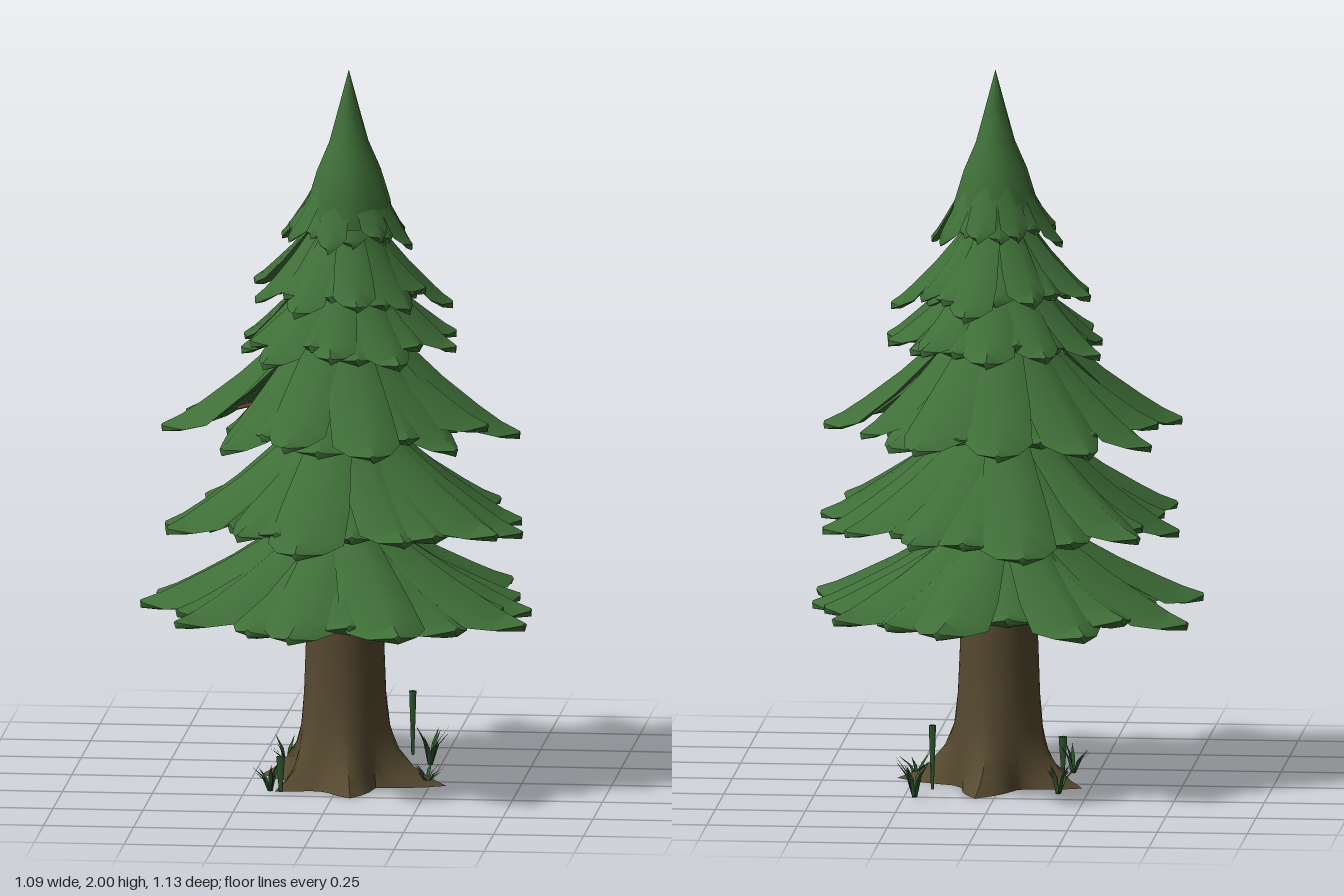
import * as THREE from 'three';
import { mergeGeometries, mergeVertices, toCreasedNormals } from 'three/addons/utils/BufferGeometryUtils.js';

const mat = (name, color, side = THREE.FrontSide) => {
  const m = new THREE.MeshStandardMaterial({ color, side });
  m.name = name;
  return m;
};

// small seeded generator, -1..1
let seed = 11;
const jitter = () => {
  seed = (seed * 16807) % 2147483647;
  return (seed / 2147483647) * 2 - 1;
};
const rad = THREE.MathUtils.degToRad;

function buildGeometry(positions, index) {
  const g = new THREE.BufferGeometry();
  g.setAttribute('position', new THREE.Float32BufferAttribute(positions, 3));
  g.setIndex(index);
  return g;
}

// Drooping pointed frond: a ridged four-sided section swept outwards
const STATIONS = [[0, 0.45], [0.25, 0.68], [0.5, 0.9], [0.74, 1], [0.88, 0.62], [1, 0.1]];
function frond(angle, r0, r1, yTop, yTip, half) {
  const pos = [], index = [];
  const c = Math.cos(angle), s = Math.sin(angle);
  const skew = jitter() * 0.12 * half;
  STATIONS.forEach(([t, k], i) => {
    const r = r0 + (r1 - r0) * t;
    const y = yTip + (yTop - yTip) * Math.pow(1 - t, 1.35);
    const w = half * k;
    const section = [[-w, -0.45 * w], [skew * k, 0.012 * k], [w, -0.45 * w], [0, -0.38 * w - 0.018]];
    section.forEach(([u, v]) => pos.push(c * r - s * u, y + v, s * r + c * u));
    if (i === 0) return;
    for (let j = 0; j < 4; j++) {
      const a = (i - 1) * 4 + j, b = (i - 1) * 4 + ((j + 1) % 4);
      index.push(a, b, a + 4, b, b + 4, a + 4);
    }
  });
  const e = (STATIONS.length - 1) * 4;
  index.push(e, e + 1, e + 2, e, e + 2, e + 3);
  return toCreasedNormals(buildGeometry(pos, index), rad(55));
}

// One ring of long fronds with shorter ones tucked underneath between them
function tier(tips, r0, yTop, yTip) {
  const parts = [];
  tips.forEach(([deg, r], i) => {
    const next = i + 1 < tips.length ? tips[i + 1][0] : tips[0][0] + 360;
    const mid = (deg + next) / 2;
    const half = 0.165 * r + 0.014;
    parts.push(frond(rad(deg), r0, r, yTop + jitter() * 0.015, yTip + jitter() * 0.022, half));
    parts.push(frond(rad(mid + jitter() * 4), r0 * 0.8, r * (0.83 + 0.06 * jitter()),
      yTop - 0.025, yTip + 0.015 + jitter() * 0.02, half * 1.12));
  });
  return mergeGeometries(parts);
}

const ringTips = (count, radius, start) => Array.from({ length: count }, (_, i) =>
  [start + (i * 360) / count + jitter() * 5, radius * (0.96 + 0.1 * jitter())]);

// Trunk turned from a profile, then pulled out into five roots near the ground
function trunkGeometry() {
  const profile = [[0, 0], [0.135, 0], [0.133, 0.02], [0.13, 0.05], [0.125, 0.1], [0.118, 0.16],
    [0.113, 0.25], [0.108, 0.4], [0.108, 0.6], [0.095, 1.0], [0.05, 1.55], [0, 1.6]];
  const roots = [[9, 0.29], [81, 0.26], [135, 0.25], [198, 0.25], [279, 0.27]];
  let g = new THREE.LatheGeometry(profile.map(([x, y]) => new THREE.Vector2(x, y)), 40);
  g.deleteAttribute('uv');
  g.deleteAttribute('normal');
  const p = g.attributes.position;
  for (let i = 0; i < p.count; i++) {
    const x = p.getX(i), y = p.getY(i), z = p.getZ(i);
    const r = Math.hypot(x, z);
    if (r < 0.001) continue;
    const a = Math.atan2(z, x);
    let pull = 0;
    for (const [deg, reach] of roots) {
      const d = Math.abs(Math.atan2(Math.sin(a - rad(deg)), Math.cos(a - rad(deg))));
      pull += (reach - 0.135) * Math.pow(Math.max(0, 1 - d / 0.62), 1.3);
    }
    const k = 1 + (pull * Math.exp(-y / 0.06)) / r;
    p.setXYZ(i, x * k, y, z * k);
  }
  g = mergeVertices(g, 1e-4);
  return toCreasedNormals(g, rad(50));
}

// Tuft of bent, tapering blades
function tuftGeometry(count, height) {
  const pos = [], index = [];
  for (let i = 0; i < count; i++) {
    const a = (i / count) * Math.PI * 2 + jitter() * 0.4;
    const c = Math.cos(a), s = Math.sin(a);
    const h = height * (0.75 + 0.25 * jitter()), out = 0.045 + 0.02 * jitter(), w = 0.006;
    const n = pos.length / 3;
    for (const [r, y, k] of [[0.004, 0, 1], [out * 0.4, h * 0.6, 0.9]]) {
      pos.push(c * r - s * w * k, y, s * r + c * w * k, c * r + s * w * k, y, s * r - c * w * k);
    }
    pos.push(c * out, h, s * out);
    index.push(n, n + 1, n + 2, n + 1, n + 3, n + 2, n + 2, n + 3, n + 4);
  }
  const g = buildGeometry(pos, index);
  g.computeVertexNormals();
  return g;
}

export function createModel() {
  const needles = mat('needle green', 0x3f6f38);
  const bark = mat('bark brown', 0x564930);
  const twig = mat('twig brown', 0x6b4529);
  const grass = mat('grass green', 0x2f5a30, THREE.DoubleSide);

  const tree = new THREE.Group();
  tree.name = 'pineTree';
  const add = (name, geometry, material, x = 0, y = 0, z = 0) => {
    const mesh = new THREE.Mesh(geometry, material);
    mesh.name = name;
    mesh.position.set(x, y, z);
    tree.add(mesh);
    return mesh;
  };

  add('trunk', trunkGeometry(), bark, 0.01, 0, 0.01);

  // Foliage tiers, bottom to top
  const lowest = [[3, 0.53], [25, 0.59], [69, 0.6], [100, 0.54], [139, 0.56], [167, 0.56],
    [199, 0.56], [240, 0.54], [283, 0.58], [321, 0.56]];
  const second = [[-12, 0.5], [14, 0.53], [33, 0.55], [63, 0.48], [97, 0.57], [124, 0.45],
    [150, 0.53], [180, 0.49], [216, 0.5], [259, 0.57], [297, 0.48], [325, 0.5]];
  add('lowestBranches', tier(lowest, 0.09, 0.76, 0.5), needles);
  add('secondBranches', tier(second, 0.08, 1.05, 0.74), needles);
  add('thirdBranches', tier(ringTips(11, 0.48, 5), 0.07, 1.34, 1.0), needles);
  add('fourthBranches', tier(ringTips(10, 0.34, 20), 0.06, 1.48, 1.24), needles, 0.01);
  add('fifthBranches', tier(ringTips(9, 0.28, 0), 0.05, 1.62, 1.37), needles, 0.015);
  add('crownBranches', tier(ringTips(8, 0.19, 12), 0.05, 1.77, 1.54), needles, 0.02);

  // Pointed treetop
  const top = [[0, 1.57], [0.125, 1.57], [0.118, 1.63], [0.09, 1.72], [0.055, 1.8], [0.03, 1.89], [0, 2]];
  const cone = new THREE.LatheGeometry(top.map(([x, y]) => new THREE.Vector2(x, y)), 10);
  add('treetop', toCreasedNormals(cone, rad(50)), needles, 0.02, 0, 0.005);

  // Thin bare branches under the fronds: angle, reach, inner and outer height
  for (const [deg, reach, y0, y1] of [[158, 0.38, 0.84, 0.72], [248, 0.4, 0.84, 0.76],
    [40, 0.38, 0.6, 0.54], [300, 0.38, 0.6, 0.53], [340, 0.32, 1.12, 1.02], [200, 0.32, 1.12, 1.02]]) {
    const dir = new THREE.Vector3(Math.cos(rad(deg)) * reach, y1 - y0, Math.sin(rad(deg)) * reach);
    const branch = add('bareBranch', new THREE.CylinderGeometry(0.005, 0.014, dir.length(), 6), twig,
      dir.x / 2, (y0 + y1) / 2, dir.z / 2);
    branch.quaternion.setFromUnitVectors(new THREE.Vector3(0, 1, 0), dir.clone().normalize());
  }

  // Grass around the roots
  for (const [x, z, h] of [[-0.18, 0.18, 0.1], [0.22, -0.25, 0.12], [0.24, 0.05, 0.07], [-0.17, -0.16, 0.09]]) {
    add('grassTuft', tuftGeometry(9, h), grass, x, 0, z);
  }
  add('tallGrassBlade', new THREE.CylinderGeometry(0.01, 0.004, 0.18, 4), grass, 0.17, 0.115, -0.26);
  add('shortGrassBlade', new THREE.CylinderGeometry(0.012, 0.005, 0.1, 4), grass, -0.15, 0.05, 0.19);

  return tree;
}
